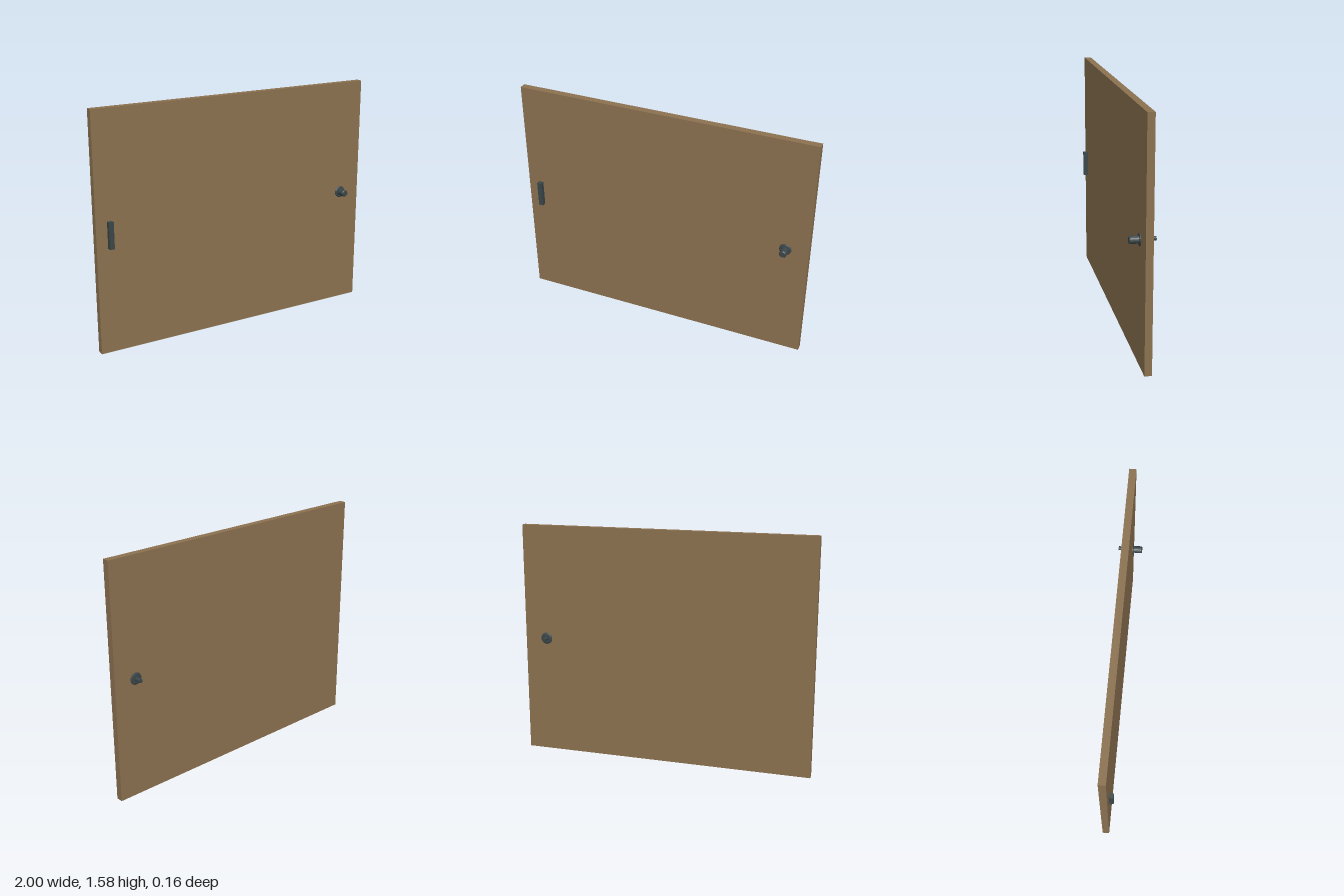
import * as THREE from 'three';

export function createModel() {
  const model = new THREE.Group();
  const wood = new THREE.MeshStandardMaterial({ color: 0x8b7150 });
  wood.name = 'wood';
  const metal = new THREE.MeshStandardMaterial({ color: 0x3b4648, flatShading: true });
  metal.name = 'dark metal';

  const front = 0.016, back = -0.03, height = 1.58;

  function box(name, size, pos, material) {
    const mesh = new THREE.Mesh(new THREE.BoxGeometry(...size), material);
    mesh.name = name;
    mesh.position.set(...pos);
    model.add(mesh);
  }

  // Door panel and the pull bar on its front
  box('doorPanel', [2, height, front - back], [0, height / 2, (front + back) / 2], wood);
  box('pullBar', [0.032, 0.176, 0.03], [-0.909, 0.79, front + 0.015], metal);

  // Turned fittings: profile of [radius, distance from the panel]
  function fitting(name, profile, z, direction) {
    const points = profile.map(([r, d]) => new THREE.Vector2(r, d));
    const mesh = new THREE.Mesh(new THREE.LatheGeometry(points, 16), metal);
    mesh.name = name;
    mesh.position.set(0.847, 0.803, z);
    mesh.rotation.x = direction * Math.PI / 2;
    model.add(mesh);
  }

  // Front knob with its rose, and the thinner spindle on the back
  fitting('frontKnob', [[0.04, 0], [0.04, 0.003], [0.034, 0.007], [0.024, 0.007],
    [0.024, 0.059], [0.019, 0.066], [0, 0.066]], front, 1);
  fitting('backSpindle', [[0.04, 0], [0.04, 0.003], [0.03, 0.007], [0.013, 0.007],
    [0.013, 0.052], [0, 0.052]], back, -1);

  return model;
}
